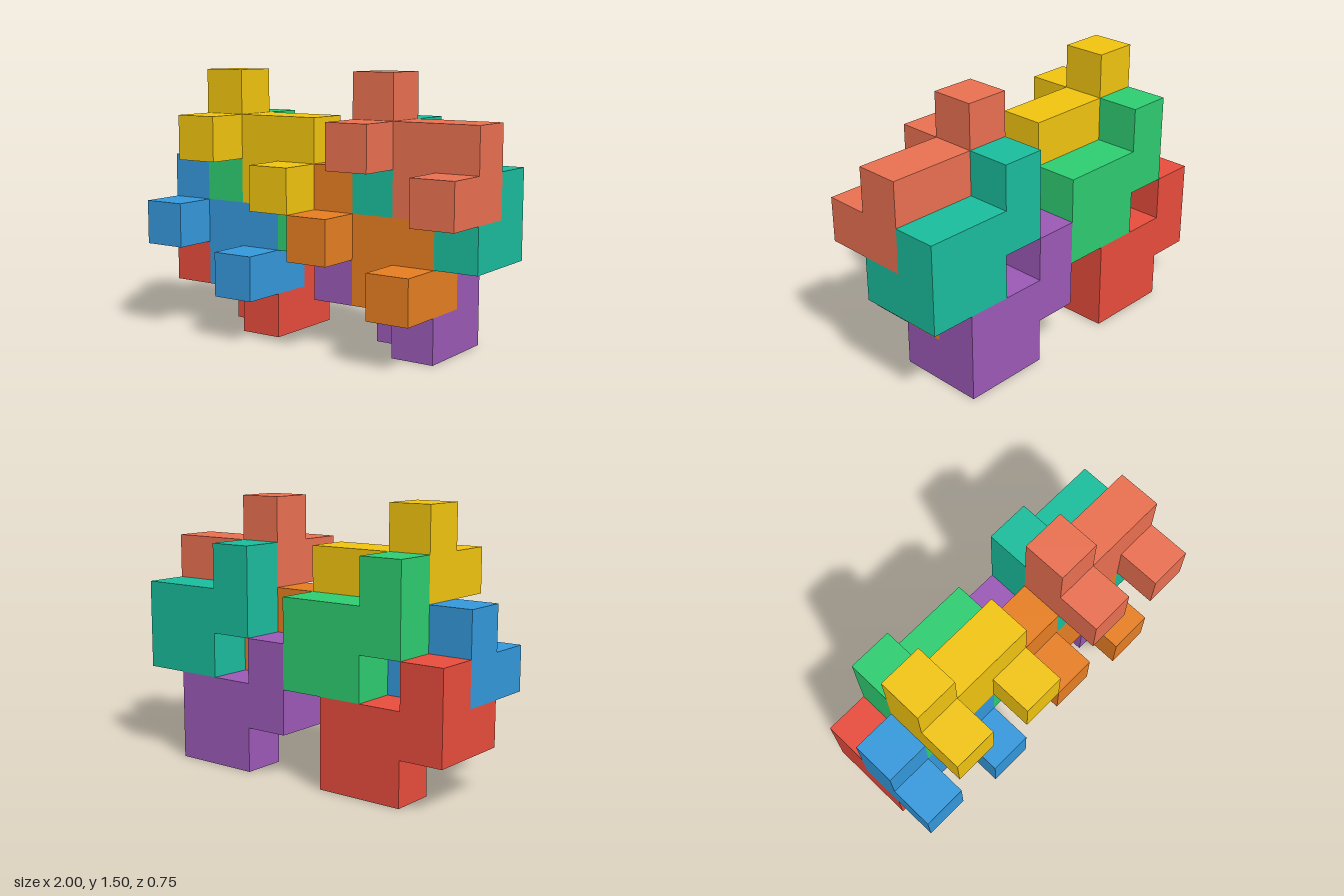
import * as THREE from 'three';

const U = 0.25; // edge of one unit cube

// One puzzle piece: a stepped slab one cube thick, with two cubes on its front face
function createPiece(name, color, col, row, layer) {
  const material = new THREE.MeshStandardMaterial({ color });
  const piece = new THREE.Group();
  piece.name = name;

  const outline = [[1, 0], [3, 0], [3, 2], [1, 2], [1, 3], [0, 3], [0, 1], [1, 1]];
  const shape = new THREE.Shape(outline.map(([x, y]) => new THREE.Vector2(x * U, y * U)));
  const slab = new THREE.Mesh(
    new THREE.ExtrudeGeometry(shape, { depth: U, bevelEnabled: false }), material);
  slab.name = 'steppedSlab';
  piece.add(slab);

  for (const [x, y] of [[0, 1], [2, 0]]) {
    const knob = new THREE.Mesh(new THREE.BoxGeometry(U, U, U), material);
    knob.name = 'frontCube';
    knob.position.set((x + 0.5) * U, (y + 0.5) * U, 1.5 * U);
    piece.add(knob);
  }

  piece.position.set(-1 + col * U, row * U, -1.5 * U + layer * U);
  return piece;
}

export function createModel() {
  const model = new THREE.Group();
  model.name = 'interlockingPuzzle';
  // name, color, column, row, layer (0 = back, 1 = middle)
  const pieces = [
    ['redPiece', 0xe74c3c, 0, 0, 0],
    ['bluePiece', 0x3498db, 0, 1, 1],
    ['greenPiece', 0x2ecc71, 1, 2, 0],
    ['yellowPiece', 0xf1c40f, 1, 3, 1],
    ['purplePiece', 0x9b59b6, 4, 0, 0],
    ['orangePiece', 0xe67e22, 4, 1, 1],
    ['tealPiece', 0x1abc9c, 5, 2, 0],
    ['coralPiece', 0xe97051, 5, 3, 1],
  ];
  for (const p of pieces) model.add(createPiece(...p));
  return model;
}
